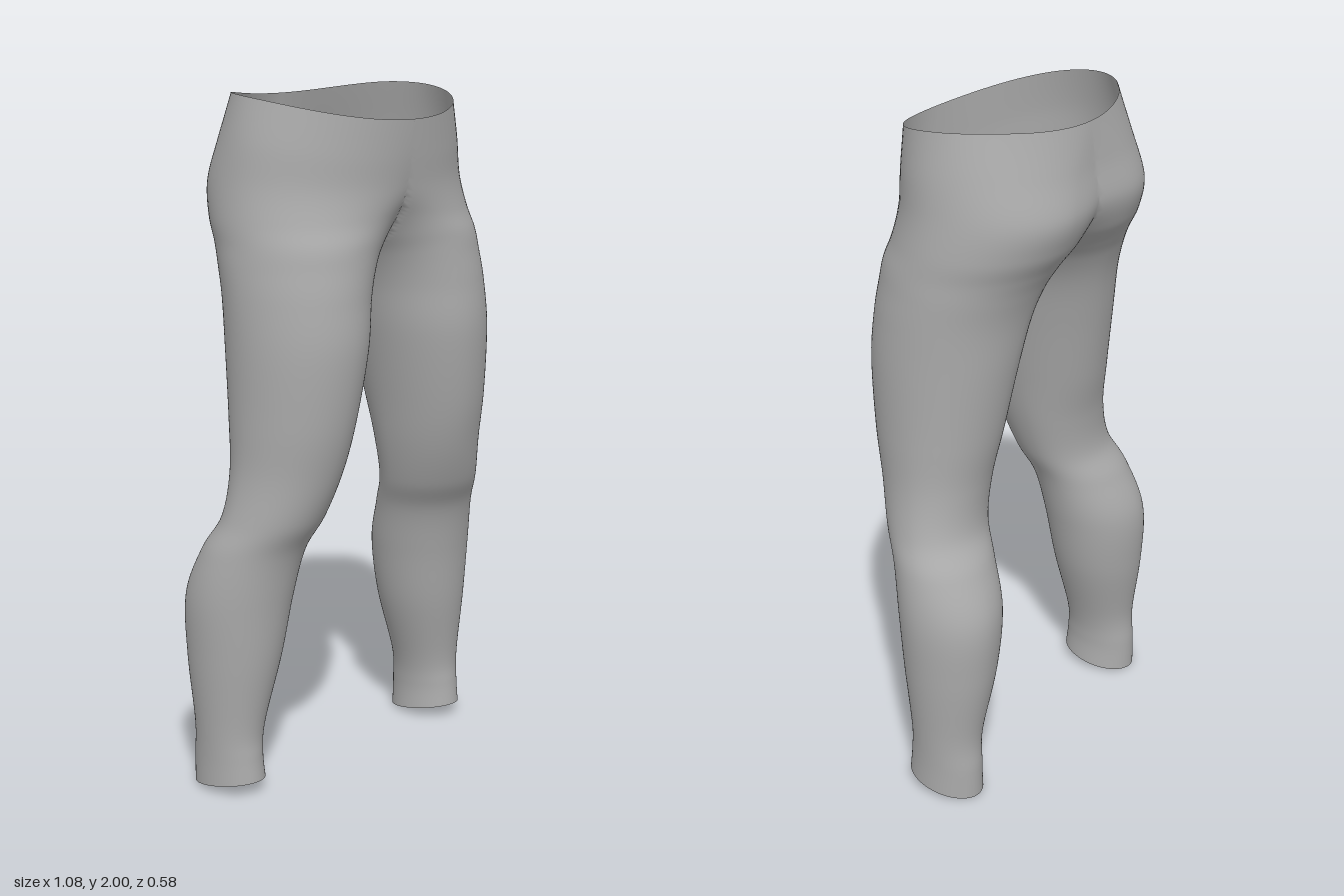
import * as THREE from 'three';
import { mergeVertices } from 'three/addons/utils/BufferGeometryUtils.js';

// Cross-sections of one side, from waist to ankle:
// height, inner x, outer x, front z, back z, z of the widest points, x of front pole, x of back pole
const SECTIONS = [
  [2.00, -0.365, 0.365, 0.280, -0.240, 0.00, 0.00, 0.00],
  [1.88, -0.340, 0.392, 0.272, -0.262, 0.00, 0.02, 0.09],
  [1.76, -0.270, 0.410, 0.262, -0.287, -0.01, 0.06, 0.14],
  [1.66, -0.130, 0.425, 0.258, -0.265, 0.00, 0.14, 0.15],
  [1.59, -0.050, 0.432, 0.267, -0.225, 0.02, 0.20, 0.17],
  [1.53, 0.000, 0.438, 0.273, -0.195, 0.03, 0.22, 0.19],
  [1.44, 0.040, 0.444, 0.282, -0.167, 0.05, 0.24, 0.21],
  [1.30, 0.070, 0.449, 0.290, -0.143, 0.07, 0.25, 0.24],
  [1.10, 0.110, 0.452, 0.270, -0.110, 0.07, 0.27, 0.27],
  [0.95, 0.140, 0.458, 0.238, -0.083, 0.06, 0.29, 0.30],
  [0.82, 0.175, 0.483, 0.198, -0.085, 0.04, 0.33, 0.33],
  [0.72, 0.210, 0.518, 0.150, -0.135, 0.00, 0.36, 0.37],
  [0.58, 0.235, 0.540, 0.122, -0.186, -0.03, 0.38, 0.40],
  [0.40, 0.270, 0.535, 0.100, -0.180, -0.04, 0.40, 0.41],
  [0.20, 0.330, 0.520, 0.070, -0.150, -0.04, 0.425, 0.425],
  [0.10, 0.344, 0.515, 0.072, -0.154, -0.04, 0.43, 0.43],
  [0.02, 0.340, 0.515, 0.080, -0.155, -0.04, 0.43, 0.43],
];
const AROUND = 96, STEPS = 8;

// Smooth interpolation between the sections
function sectionAt(s) {
  const last = SECTIONS.length - 1;
  const k = Math.min(Math.floor(s), last - 1), t = s - k;
  const [a, b, c, d] = [k - 1, k, k + 1, k + 2].map(i => SECTIONS[THREE.MathUtils.clamp(i, 0, last)]);
  return b.map((p, i) => {
    const m0 = (c[i] - a[i]) / 2, m1 = (d[i] - p) / 2, q = c[i];
    return p + m0 * t + (3 * (q - p) - 2 * m0 - m1) * t * t + (2 * (p - q) + m0 + m1) * t * t * t;
  });
}

// One ring of four quarter ovals, cut off at the middle plane
function ring(s) {
  const [y, xi, xo, zf, zb, zc, xf, xb] = sectionAt(s);
  const raw = [];
  for (let i = 0; i < AROUND; i++) {
    const a = (i / AROUND) * Math.PI * 2, c = Math.cos(a), n = Math.sin(a);
    const px = n >= 0 ? xf : xb;
    raw.push([px + c * (c >= 0 ? xo - px : px - xi), zc + n * (n >= 0 ? zf - zc : zc - zb)]);
  }
  return raw.map(([x, z], i) => {
    if (x < 1e-4) {
      for (const j of [(i + 1) % AROUND, (i + AROUND - 1) % AROUND]) {
        const [nx, nz] = raw[j];
        if (nx >= 1e-4) z = THREE.MathUtils.lerp(z, nz, x / (x - nx));
      }
      x = 0;
    }
    // Waistband dips to the front, ankle hem rises to the front
    const dip = (z > -0.1 ? 0.485 : 1.2) * (z + 0.1) ** 2;
    const waist = dip * THREE.MathUtils.smoothstep(y, 1.6, 2);
    const hem = (z + 0.0375) * 0.17 * (1 - THREE.MathUtils.smoothstep(y, 0.02, 0.2));
    return [x, y - waist + hem, z];
  });
}

// Both mirrored sides, welded along the middle
function leggingsGeometry() {
  const rows = [];
  const count = (SECTIONS.length - 1) * STEPS;
  for (let r = 0; r <= count; r++) rows.push(ring(r / STEPS));
  const position = [], index = [];
  for (const side of [1, -1]) {
    const base = position.length / 3;
    for (const row of rows) for (const [x, y, z] of row) position.push(x === 0 ? 0 : side * x, y, z);
    const face = (a, b, c) => {
      const ids = [a, b, c].map(([r, i]) => base + r * AROUND + i);
      if (ids.every(v => position[v * 3] === 0)) return; // no wall inside the pelvis
      index.push(...(side > 0 ? ids : ids.reverse()));
    };
    for (let r = 0; r < count; r++) {
      for (let i = 0; i < AROUND; i++) {
        const j = (i + 1) % AROUND;
        face([r, i], [r, j], [r + 1, i]);
        face([r, j], [r + 1, j], [r + 1, i]);
      }
    }
  }
  const geometry = new THREE.BufferGeometry();
  geometry.setAttribute('position', new THREE.Float32BufferAttribute(position, 3));
  geometry.setIndex(index);
  const welded = mergeVertices(geometry, 1e-5);
  welded.computeVertexNormals();
  return welded;
}

export function createModel() {
  const model = new THREE.Group();
  model.name = 'leggings';
  const fabric = new THREE.MeshStandardMaterial({ color: 0xaaaaaa, side: THREE.DoubleSide });
  fabric.name = 'grey fabric';
  const mesh = new THREE.Mesh(leggingsGeometry(), fabric);
  mesh.name = 'leggingsFabric';
  model.add(mesh);
  return model;
}
